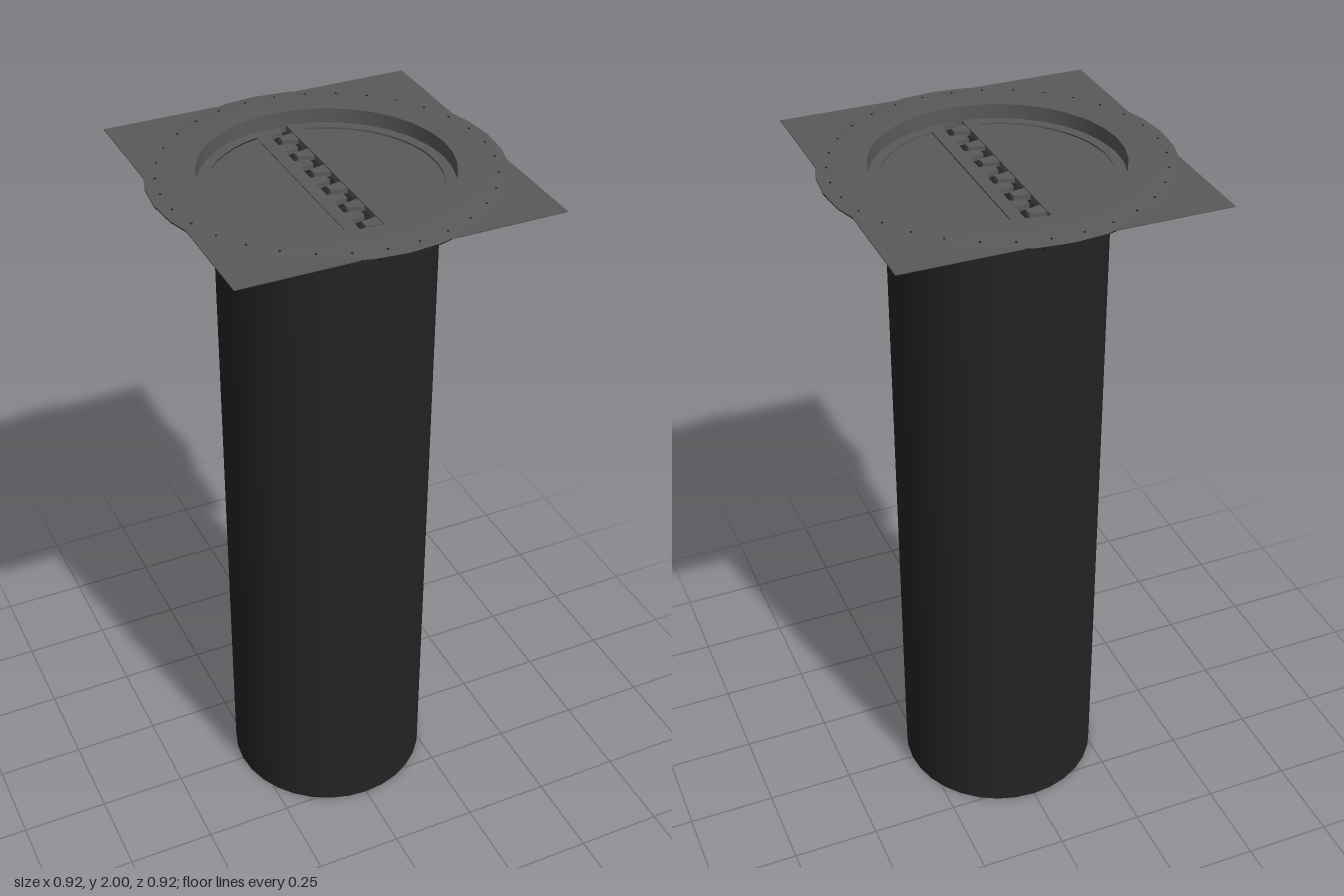
import * as THREE from 'three';
import { toCreasedNormals } from 'three/addons/utils/BufferGeometryUtils.js';

const SIDES = 32;
const DOOR_R = 0.329;

export function createModel() {
  const root = new THREE.Group();
  root.name = 'siloHatch';
  const grey = new THREE.MeshStandardMaterial({ color: 0x5a5a5a });
  grey.name = 'hatch grey';
  const dark = new THREE.MeshStandardMaterial({ color: 0x242424 });
  dark.name = 'shaft black';

  function add(name, geometry, material, parent = root) {
    const mesh = new THREE.Mesh(geometry, material);
    mesh.name = name;
    parent.add(mesh);
    return mesh;
  }
  const lathe = (pts) => toCreasedNormals(
    new THREE.LatheGeometry(pts.map(([r, y]) => new THREE.Vector2(r, y)), SIDES), 0.4);
  // Flat slab: shape drawn in (x, -z), lying between two heights
  function slab(shape, y0, y1) {
    const g = new THREE.ExtrudeGeometry(shape, { depth: y1 - y0, bevelEnabled: false, curveSegments: SIDES });
    return g.rotateX(-Math.PI / 2).translate(0, y0, 0);
  }
  // Outline of a round segment cut off at distance x from the middle
  function segment(r, x, side) {
    const a = Math.acos(x / r);
    const pts = [];
    for (let i = 0; i <= 20; i++) {
      const t = -a + (2 * a * i) / 20;
      pts.push(new THREE.Vector2(side * r * Math.cos(t), r * Math.sin(t)));
    }
    return pts;
  }

  // Shaft with closed ends
  add('shaft', new THREE.CylinderGeometry(0.29, 0.29, 1.938, SIDES).translate(0, 0.969, 0), dark);

  // Collar and underside of the flange
  add('collar', lathe([[0.28, 1.935], [0.33, 1.935], [0.33, 1.989], [0.46, 1.989], [0.46, 1.992]]), dark);

  // Top of the flange and the wall of the recess
  add('flange', lathe([[0.46, 1.992], [0.39, 2], [DOOR_R, 2], [DOOR_R, 1.94]]), grey);

  // Square ground plate with a round opening
  const plate = new THREE.Shape([[-1, -1], [1, -1], [1, 1], [-1, 1]]
    .map(([x, z]) => new THREE.Vector2(x * 0.434, z * 0.443)));
  plate.holes.push(new THREE.Path().absarc(0, 0, 0.4, 0, Math.PI * 2, true));
  add('groundPlate', slab(plate, 1.99, 1.993), grey);

  // Dark floor seen through the gap between the doors
  add('gapFloor', new THREE.CircleGeometry(DOOR_R, SIDES).rotateX(-Math.PI / 2).translate(0, 1.942, 0), dark);

  // Two half-round doors with sunken panels and interlocking teeth
  for (const side of [-1, 1]) {
    const door = new THREE.Group();
    door.name = side > 0 ? 'leftDoor' : 'rightDoor';
    root.add(door);

    const frame = new THREE.Shape(segment(DOOR_R, 0.032, side));
    frame.holes.push(new THREE.Path(segment(0.3, 0.067, side)));
    add('doorFrame', slab(frame, 1.943, 1.96), grey, door);
    add('doorPanel', slab(new THREE.Shape(segment(0.302, 0.065, side)), 1.943, 1.955), grey, door);

    const first = side > 0 ? -0.265 : -0.315;
    for (let k = 0; k < 7; k++) {
      const z = first + k * 0.1;
      const at = (x, dz) => new THREE.Vector2(side * x, -THREE.MathUtils.clamp(z + dz, -0.326, 0.326));
      const tooth = new THREE.Shape([at(0.033, -0.021), at(-0.011, -0.012), at(-0.011, 0.012), at(0.033, 0.021)]);
      add('doorTooth', slab(tooth, 1.943, 1.957), grey, door);
    }
  }

  // Ring of small bolts on the flange
  const boltGeo = new THREE.CylinderGeometry(0.003, 0.003, 0.003, 6);
  for (let i = 0; i < SIDES; i++) {
    const a = ((i + 0.5) / SIDES) * Math.PI * 2;
    add('bolt', boltGeo, dark).position.set(0.43 * Math.cos(a), 1.9955, 0.43 * Math.sin(a));
  }

  // Latch housings beneath the flange, front and back
  for (const s of [-1, 1]) {
    const latch = new THREE.Group();
    latch.name = s > 0 ? 'frontLatch' : 'backLatch';
    root.add(latch);
    add('latchBox', new THREE.BoxGeometry(0.13, 0.04, 0.012).translate(0, 1.968, s * 0.337), dark, latch);
    add('latchArm', new THREE.BoxGeometry(0.13, 0.016, 0.11).translate(0, 1.979, s * 0.388), dark, latch);
  }
  return root;
}
